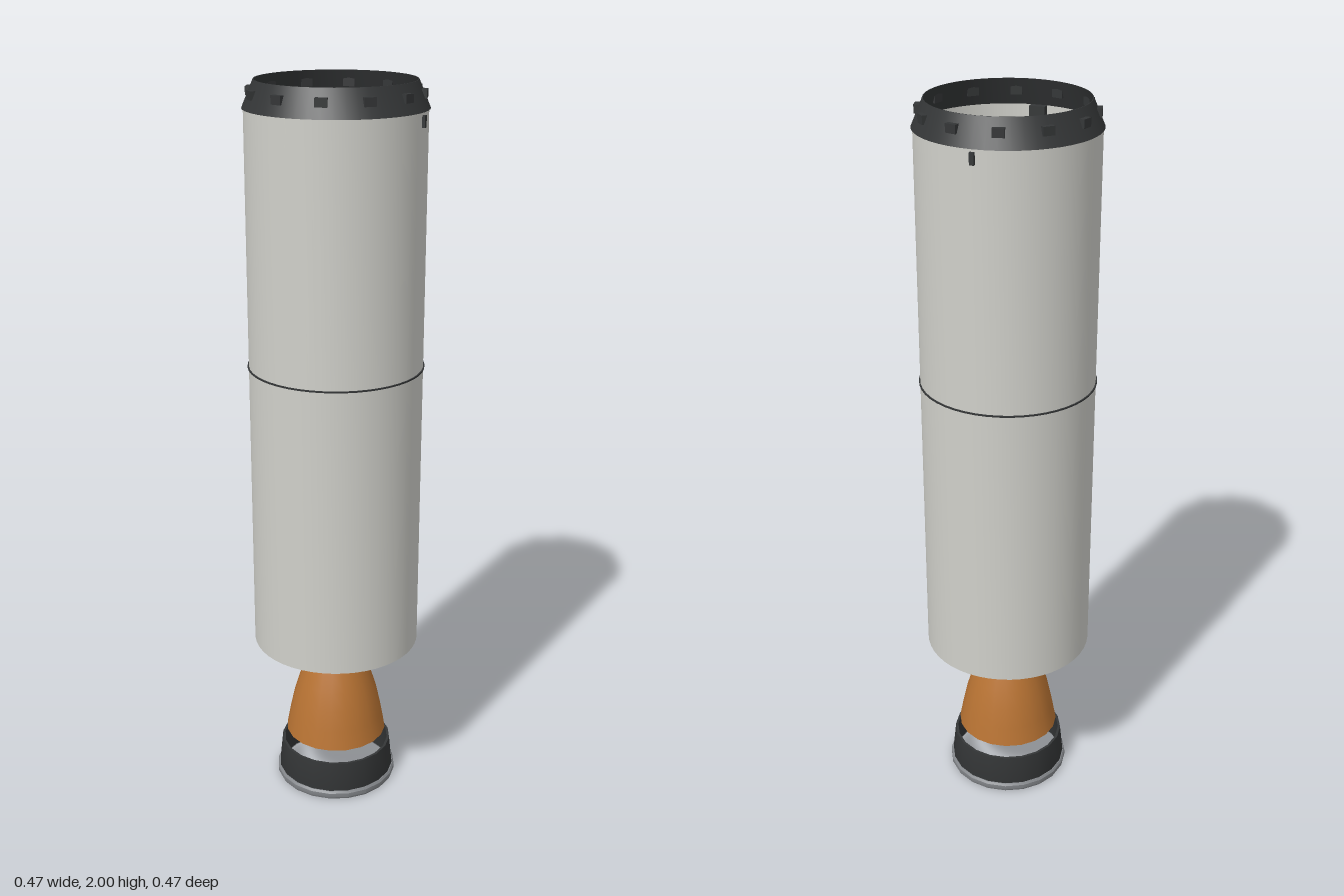
import * as THREE from 'three';
import { toCreasedNormals } from 'three/addons/utils/BufferGeometryUtils.js';

const material = (name, color, side = THREE.FrontSide) =>
  new THREE.MeshStandardMaterial({ name, color, side });

export function createModel() {
  const model = new THREE.Group();
  model.name = 'rocketStage';
  const white = material('shellWhite', 0xd0d0ca, THREE.DoubleSide);
  const dark = material('darkGrey', 0x343637, THREE.DoubleSide);
  const grey = material('metalGrey', 0x85888c);
  const copper = material('copper', 0xb87333, THREE.DoubleSide);

  const add = (name, geometry, mat, x = 0, y = 0, z = 0, parent = model) => {
    const mesh = new THREE.Mesh(geometry, mat);
    mesh.name = name;
    mesh.position.set(x, y, z);
    parent.add(mesh);
    return mesh;
  };
  // Revolved profile with sharp rims; closed profiles run up the outside, down the inside
  const turned = (name, profile, sides, mat, start = 0) => {
    const points = profile.map(([r, y]) => new THREE.Vector2(r, y));
    const geometry = new THREE.LatheGeometry(points, sides, start);
    return add(name, toCreasedNormals(geometry, 0.5), mat);
  };
  // Boxes set around the axis, facing outward
  const radialBox = (name, angle, radius, y, size) => {
    const box = add(name, new THREE.BoxGeometry(...size), dark,
      Math.sin(angle) * radius, y, Math.cos(angle) * radius);
    box.rotation.y = angle;
  };

  // Open tubular body in two sections with a seam between them
  turned('lowerShell', [[0.232, 0.45], [0.232, 1.26]], 48, white);
  turned('upperShell', [[0.232, 1.26], [0.232, 1.93]], 48, white);
  turned('seamBand', [[0.232, 1.258], [0.2355, 1.258], [0.2355, 1.262], [0.232, 1.262]], 48, dark);

  // Tapered docking ring with twelve latches
  turned('topRing', [[0.231, 1.93], [0.236, 1.93], [0.206, 2], [0.204, 2], [0.231, 1.93]], 48, dark);
  for (let i = 0; i < 12; i++) {
    radialBox('ringLatch', i * Math.PI / 6, 0.22, 1.968, [0.03, 0.022, 0.016]);
  }

  // Blocks inside the rim, two of them with tabs through the shell
  for (let i = 0; i < 4; i++) {
    radialBox('innerBlock', Math.PI / 4 + i * Math.PI / 2, 0.217, 1.91, [0.042, 0.042, 0.02]);
  }
  for (const angle of [Math.PI / 4, 3 * Math.PI / 4]) {
    radialBox('outerTab', angle, 0.234, 1.908, [0.012, 0.03, 0.01]);
  }

  // Engine bell, open at the bottom
  const sides = 20, offset = Math.PI / sides;
  turned('engineBell', [
    [0.144, 0.145], [0.134, 0.2], [0.121, 0.26], [0.106, 0.31],
    [0.089, 0.36], [0.075, 0.397], [0.064, 0.414], [0.045, 0.42],
  ], sides, copper, offset);

  // Injector head above the bell
  turned('injectorHead', [
    [0.045, 0.415], [0.048, 0.425], [0.066, 0.437], [0.066, 0.447], [0.055, 0.462], [0, 0.462],
  ], 32, grey);

  // Detached bell extension with a rim at its foot
  turned('bellExtension', [
    [0.163, 0.004], [0.167, 0.02], [0.158, 0.11], [0.151, 0.11], [0.163, 0.004],
  ], sides, dark, offset);
  turned('extensionRim', [
    [0.164, 0], [0.17, 0], [0.173, 0.006], [0.173, 0.018], [0.169, 0.024], [0.164, 0.024], [0.164, 0],
  ], sides, grey, offset);

  // Pump beside the injector
  add('pump', toCreasedNormals(new THREE.CylinderGeometry(0.034, 0.034, 0.11, 8), 0.5), dark, 0.092, 0.455, 0);

  // Feed pipes down to the bell
  for (const side of [-1, 1]) {
    const path = new THREE.LineCurve3(
      new THREE.Vector3(side * 0.085, 0.455, 0.034), new THREE.Vector3(side * 0.076, 0.365, 0.032));
    const pipe = add('feedPipe', new THREE.CylinderGeometry(0.005, 0.005, path.getLength(), 8), grey);
    pipe.position.copy(path.getPoint(0.5));
    pipe.quaternion.setFromUnitVectors(new THREE.Vector3(0, -1, 0), path.getTangent(0));
  }
  return model;
}
